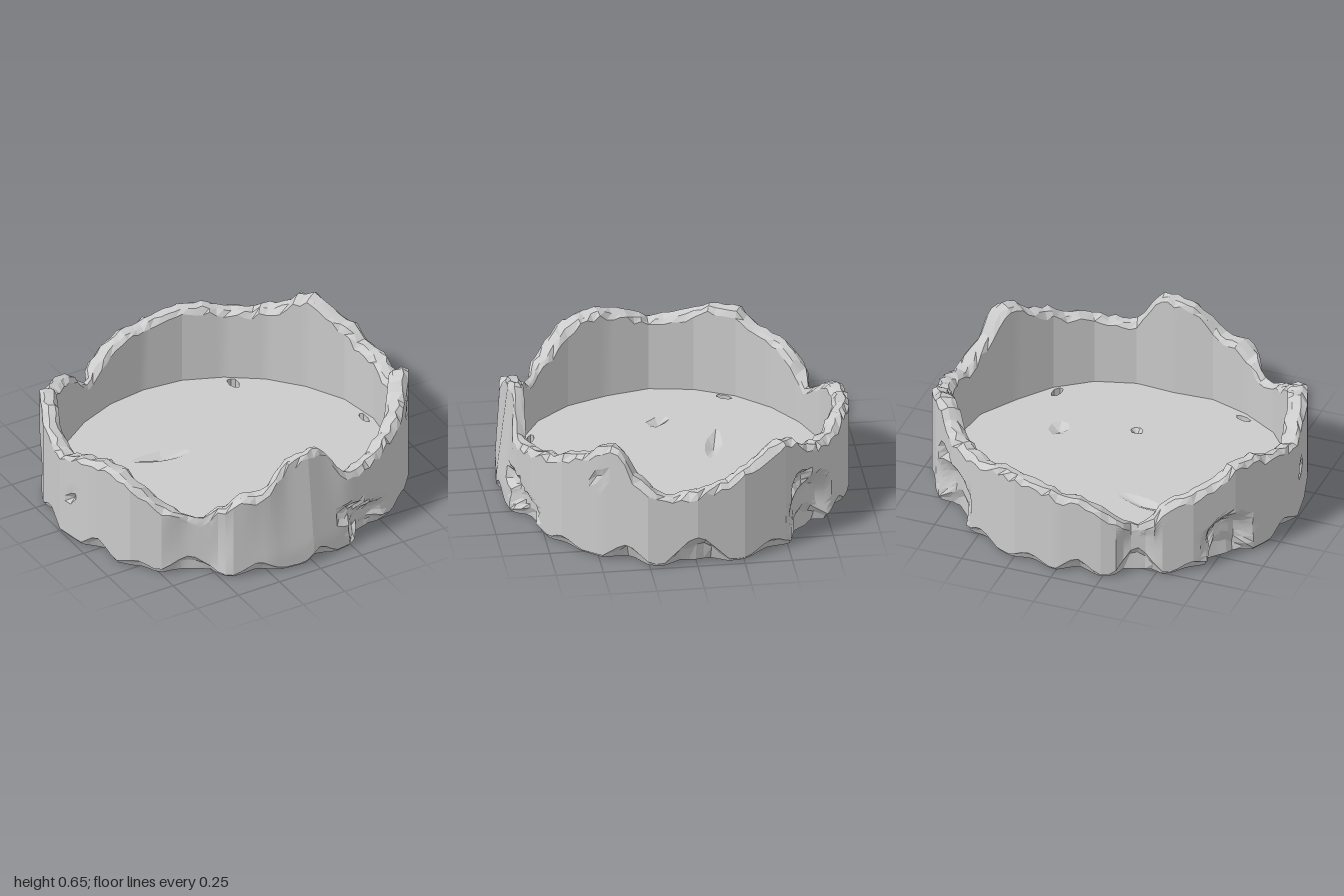
import * as THREE from 'three';
import { toCreasedNormals } from 'three/addons/utils/BufferGeometryUtils.js';

const STEPS = 144;
const FLOOR = 0.065;
// Angles run in degrees from the front (+z) towards the left side (+x).
// Outer and inner radius of the wall at every 15 degrees
const OUTER = [.93, .925, .935, .955, .965, 1, 1.003, .99, .975, .96, .94, .935,
  .93, .935, .94, .955, .97, .985, 1, .99, 1, .975, .955, .935, .93];
const INNER = [.79, .83, .855, .86, .86, .9, .905, .895, .87, .855, .845, .845,
  .84, .84, .845, .86, .88, .895, .905, .885, .89, .88, .85, .83, .79];
// Broken rim: angle, height
const RIM = [[0, .64], [3, .66], [6, .64], [11, .53], [14, .46], [18, .44], [25, .45],
  [33, .48], [41, .5], [45, .545], [54, .57], [58, .65], [64, .67], [66, .61], [68, .59],
  [70, .51], [75, .46], [81, .39], [87, .43], [95, .45], [101, .47], [104, .52], [108, .535],
  [114, .59], [120, .62], [125, .6], [128, .54], [133, .52], [140, .49], [150, .48],
  [158, .515], [166, .51], [180, .47], [188, .45], [195, .4], [202, .33], [207, .28],
  [212, .34], [217, .43], [226, .47], [235, .5], [240, .57], [250, .565], [256, .52],
  [263, .5], [270, .47], [278, .53], [288, .575], [295, .56], [302, .5], [308, .42],
  [314, .38], [319, .34], [324, .35], [328, .41], [335, .47], [343, .48], [348, .56],
  [352, .62], [360, .64]];
// Chips along the foot: angle, half width, height
const CHIPS = [[3, 7, .08], [27, 14, .07], [45, 8, .06], [68, 9, .1], [90, 11, .17],
  [115, 10, .07], [133, 12, .15], [150, 9, .08], [170, 9, .06], [187, 8, .09],
  [207, 9, .15], [225, 8, .06], [238, 10, .15], [262, 9, .07], [287, 8, .1], [302, 9, .06],
  [318, 11, .1], [341, 9, .07]];
// Dents in the outer face: angle, height, half width, half height, depth
const DENTS = [[24, .1, 10, .09, .06], [16, .19, 6, .06, .05], [20, .16, 6, .06, .05],
  [59, .46, 2, .03, .03], [133, .16, 12, .19, .07], [128, .33, 5, .06, .05],
  [207, .15, 7, .22, .05], [238, .14, 10, .15, .07], [321.5, .2, 11, .45, .05],
  [275, .25, 2, .03, .03]];

const rad = THREE.MathUtils.degToRad;
const clamp = THREE.MathUtils.clamp;

function makeRandom(seed) {
  return () => {
    seed = (seed * 16807) % 2147483647;
    return seed / 2147483647;
  };
}

// Radius on the straight facet between two neighbouring corners
function facetRadius(list, a) {
  const i = Math.floor(a / 15), t = rad(a - i * 15), step = rad(15);
  const r0 = list[i], r1 = list[i + 1];
  return r0 * r1 * Math.sin(step) / (r0 * Math.sin(t) + r1 * Math.sin(step - t));
}

function rimHeight(a) {
  const i = RIM.findIndex((p, k) => k > 0 && p[0] >= a);
  const [p, q] = [RIM[i - 1], RIM[i]];
  return THREE.MathUtils.lerp(p[1], q[1], (a - p[0]) / (q[0] - p[0]));
}

const gap = (a, b) => Math.abs(((a - b + 540) % 360) - 180);

function chipHeight(a) {
  return CHIPS.reduce((h, [c, w, top]) =>
    Math.max(h, top * clamp(1.15 * (1 - gap(a, c) / w), 0, 1)), 0.012);
}

function dentDepth(a, y) {
  return DENTS.reduce((d, [c, cy, w, h, depth]) => {
    const dist = Math.hypot(gap(a, c) / w, (y - cy) / h);
    return Math.max(d, depth * clamp((1 - dist) * 2.2, 0, 1));
  }, 0);
}

// One radius/height loop through the wall: inside, broken rim, outside, foot
function wallSection(a, random) {
  const inner = facetRadius(INNER, a), outer = facetRadius(OUTER, a);
  const top = rimHeight(a) - random() * 0.012;
  const chip = chipHeight(a);
  const lean = 0.065 * clamp(1.6 - gap(a, 0) / 14, 0, 1);
  const face = y => Math.max(inner + 0.02,
    outer - lean * Math.max(0, y - 0.1) / 0.55 - dentDepth(a, y));
  const edge = top - 0.01 - random() * 0.035;
  const width = face(edge) - inner;
  const points = [
    [inner, 0],
    [inner, top - 0.015 - random() * 0.03],
    [inner + width * (0.15 + random() * 0.2), top - random() * 0.015],
    [inner + width * (0.6 + random() * 0.25), top],
  ];
  const levels = 14;
  for (let k = 0; k <= levels; k++) {
    const y = THREE.MathUtils.lerp(edge, chip, k / levels);
    points.push([face(y), y]);
  }
  const foot = Math.max(inner + 0.015, face(chip) - chip * 0.75);
  points.push([(foot + face(chip)) / 2 - chip * 0.1, chip * (0.5 + random() * 0.25)]);
  points.push([foot, 0]);
  return points;
}

function buildWall() {
  const random = makeRandom(41);
  const positions = [], index = [];
  let count = 0;
  for (let i = 0; i < STEPS; i++) {
    const a = i * 360 / STEPS;
    const section = wallSection(a, random);
    count = section.length;
    for (const [r, y] of section) positions.push(r * Math.sin(rad(a)), y, r * Math.cos(rad(a)));
  }
  for (let i = 0; i < STEPS; i++) {
    for (let j = 0; j < count; j++) {
      const k = (j + 1) % count, n = (i + 1) % STEPS;
      const p = i * count + j, q = n * count + j, s = i * count + k, t = n * count + k;
      index.push(p, s, q, q, s, t);
    }
  }
  const geometry = new THREE.BufferGeometry();
  geometry.setAttribute('position', new THREE.Float32BufferAttribute(positions, 3));
  geometry.setIndex(index);
  return toCreasedNormals(geometry, rad(14));
}

// Corners of a ragged hole: x, z, half length, half width, turn in degrees
function raggedHole([x, z, long, wide, turn], random) {
  const sides = long > 0.1 ? 12 : 7;
  return Array.from({ length: sides }, (_, i) => {
    const t = i / sides * Math.PI * 2, k = 0.8 + random() * 0.3;
    return new THREE.Vector2(long * k * Math.cos(t), wide * k * Math.sin(t))
      .rotateAround(new THREE.Vector2(), rad(turn)).add(new THREE.Vector2(x, -z));
  });
}

function buildSlab(bottom, top, holes) {
  const outline = [];
  for (let i = 0; i < STEPS; i++) {
    const a = i * 360 / STEPS, r = facetRadius(INNER, a);
    outline.push(new THREE.Vector2(r * Math.sin(rad(a)), -r * Math.cos(rad(a))));
  }
  const shape = new THREE.Shape(outline);
  shape.holes = holes.map(points => new THREE.Path(points));
  return new THREE.ExtrudeGeometry(shape, { depth: top - bottom, bevelEnabled: false })
    .rotateX(-Math.PI / 2).translate(0, bottom, 0);
}

// Faceted funnel from the edge of a hole to a point
function buildPit(points, rimY, tipY) {
  const tip = points.reduce((sum, p) => sum.add(p), new THREE.Vector2())
    .divideScalar(points.length);
  const positions = points.flatMap((p, i) => {
    const q = points[(i + 1) % points.length];
    return [p.x, rimY, -p.y, q.x, rimY, -q.y, tip.x, tipY, -tip.y];
  });
  const geometry = new THREE.BufferGeometry();
  geometry.setAttribute('position', new THREE.Float32BufferAttribute(positions, 3));
  geometry.computeVertexNormals();
  return geometry;
}

export function createModel() {
  const model = new THREE.Group();
  model.name = 'ruinedRoundWall';
  const stone = new THREE.MeshStandardMaterial({ color: 0xcccccc });
  const pitStone = new THREE.MeshStandardMaterial({ color: 0xcccccc, side: THREE.DoubleSide });
  const add = (name, geometry, material = stone) => {
    const mesh = new THREE.Mesh(geometry, material);
    mesh.name = name;
    model.add(mesh);
  };
  const random = makeRandom(7);
  const ragged = list => list.map(h => raggedHole(h, random));

  add('brokenWall', buildWall());

  // Gaps beside the wall that go right through the floor
  const gaps = ragged([[.44, -.66, .05, .03, 80], [.575, .575, .045, .025, 75],
    [.865, -.03, .05, .018, 90], [-.76, -.38, .045, .02, 60], [-.43, .69, .045, .02, -20]]);
  // Pits in the top and in the underside
  const pits = ragged([[-.23, -.25, .17, .045, -12], [-.53, 0, .08, .045, -55],
    [.44, .26, .075, .06, 80], [.05, .38, .035, .03, 0]]);
  const underPits = ragged([[.59, .17, .04, .03, 0], [0, -.13, .1, .03, 30],
    [-.54, .39, .08, .05, 20], [-.66, -.09, .15, .025, 35]]);
  const middle = FLOOR / 2;
  add('floorTop', buildSlab(middle, FLOOR, [...gaps, ...pits]));
  add('floorUnderside', buildSlab(0, middle, [...gaps, ...underPits]));
  pits.forEach(p => add('floorPit', buildPit(p, FLOOR, middle + 0.002), pitStone));
  underPits.forEach(p => add('undersidePit', buildPit(p, 0, middle - 0.002), pitStone));
  return model;
}
